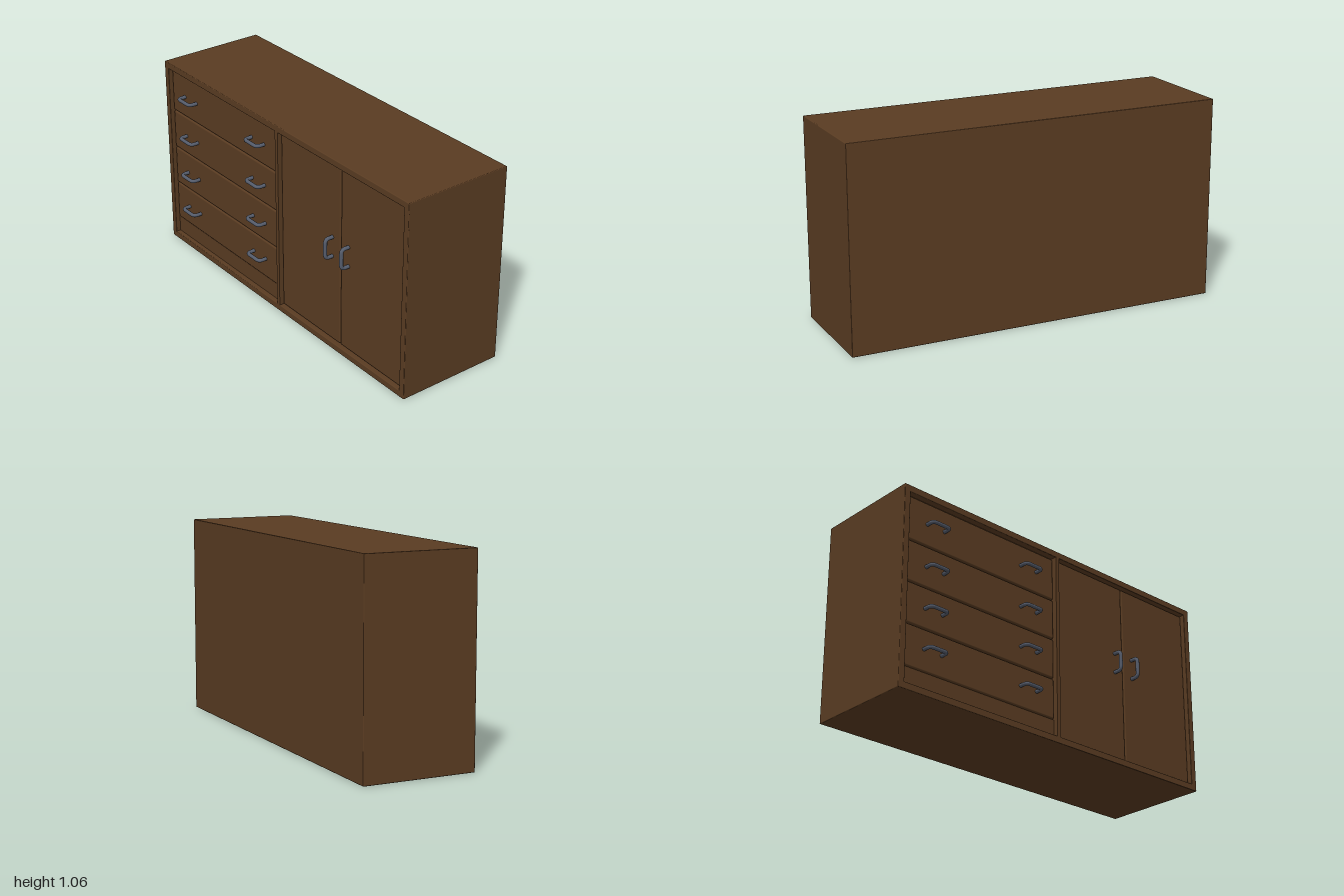
import * as THREE from 'three';
import { RoundedBoxGeometry } from 'three/addons/geometries/RoundedBoxGeometry.js';

export function createModel() {
  const model = new THREE.Group();
  model.name = 'sideboard';
  const wood = new THREE.MeshStandardMaterial({ color: 0x5a3c22 });
  wood.name = 'brown wood';
  const metal = new THREE.MeshStandardMaterial({ color: 0x555c6b });
  metal.name = 'grey metal';

  const H = 1.06, FRONT = -0.28, BACK = 0.315, WALL = 0.035, FACE = -0.26;

  // Box from its extents, optionally with softened edges
  function box(name, x0, x1, y0, y1, z0, z1, radius = 0) {
    const size = [x1 - x0, y1 - y0, z1 - z0];
    const geo = radius ? new RoundedBoxGeometry(...size, 2, radius) : new THREE.BoxGeometry(...size);
    const mesh = new THREE.Mesh(geo, wood);
    mesh.position.set((x0 + x1) / 2, (y0 + y1) / 2, (z0 + z1) / 2);
    mesh.name = name;
    model.add(mesh);
  }

  // Carcass: the open side with drawers and doors looks towards -x
  box('bottomBoard', FRONT, BACK, 0, WALL, -1, 1, 0.004);
  box('topBoard', FRONT, BACK, H - WALL, H, -1, 1, 0.004);
  for (const s of [-1, 1]) {
    const z = s * (1 - WALL / 2);
    box('endBoard', FRONT, BACK, 0, H, z - WALL / 2, z + WALL / 2, 0.004);
  }
  box('backBoard', BACK - 0.03, BACK, 0, H, -1, 1, 0.004);
  box('innerPanel', -0.245, -0.225, 0.02, H - 0.02, -0.98, 0.98);
  box('divider', FRONT, -0.23, 0.03, H - 0.03, -0.011, 0.011);

  // Bow handle: bar with rounded corners, lying along z
  const bow = new THREE.CurvePath();
  const v = (x, z) => new THREE.Vector3(x, 0, z);
  const half = 0.053, out = -0.305, r = 0.022;
  bow.add(new THREE.LineCurve3(v(FACE + 0.005, -half), v(out + r, -half)));
  bow.add(new THREE.QuadraticBezierCurve3(v(out + r, -half), v(out, -half), v(out, -half + r)));
  bow.add(new THREE.LineCurve3(v(out, -half + r), v(out, half - r)));
  bow.add(new THREE.QuadraticBezierCurve3(v(out, half - r), v(out, half), v(out + r, half)));
  bow.add(new THREE.LineCurve3(v(out + r, half), v(FACE + 0.005, half)));
  const handleGeo = new THREE.TubeGeometry(bow, 40, 0.01, 10);

  function handle(name, y, z, upright) {
    const mesh = new THREE.Mesh(handleGeo, metal);
    mesh.position.set(0, y, z);
    if (upright) mesh.rotation.x = Math.PI / 2;
    mesh.name = name;
    model.add(mesh);
  }

  // Four drawers with two handles each, above a plinth
  const levels = [0.126, 0.345, 0.562, 0.782, 1.018];
  const handleHeights = [0.24, 0.45, 0.67, 0.90];
  handleHeights.forEach((y, i) => {
    box('drawerFront', FACE, FACE + 0.03, levels[i] + 0.002, levels[i + 1] - 0.002, -0.963, -0.013, 0.009);
    for (const z of [-0.79, -0.185]) handle('drawerHandle', y, z, false);
  });
  box('plinth', FACE + 0.006, -0.23, 0.03, 0.126, -0.965, -0.011);

  // Pair of doors meeting in the middle of the other half
  box('door', FACE, FACE + 0.03, 0.038, 1.02, 0.013, 0.486, 0.009);
  box('door', FACE, FACE + 0.03, 0.038, 1.02, 0.489, 0.962, 0.009);
  for (const z of [0.425, 0.55]) handle('doorHandle', 0.57, z, true);

  return model;
}
